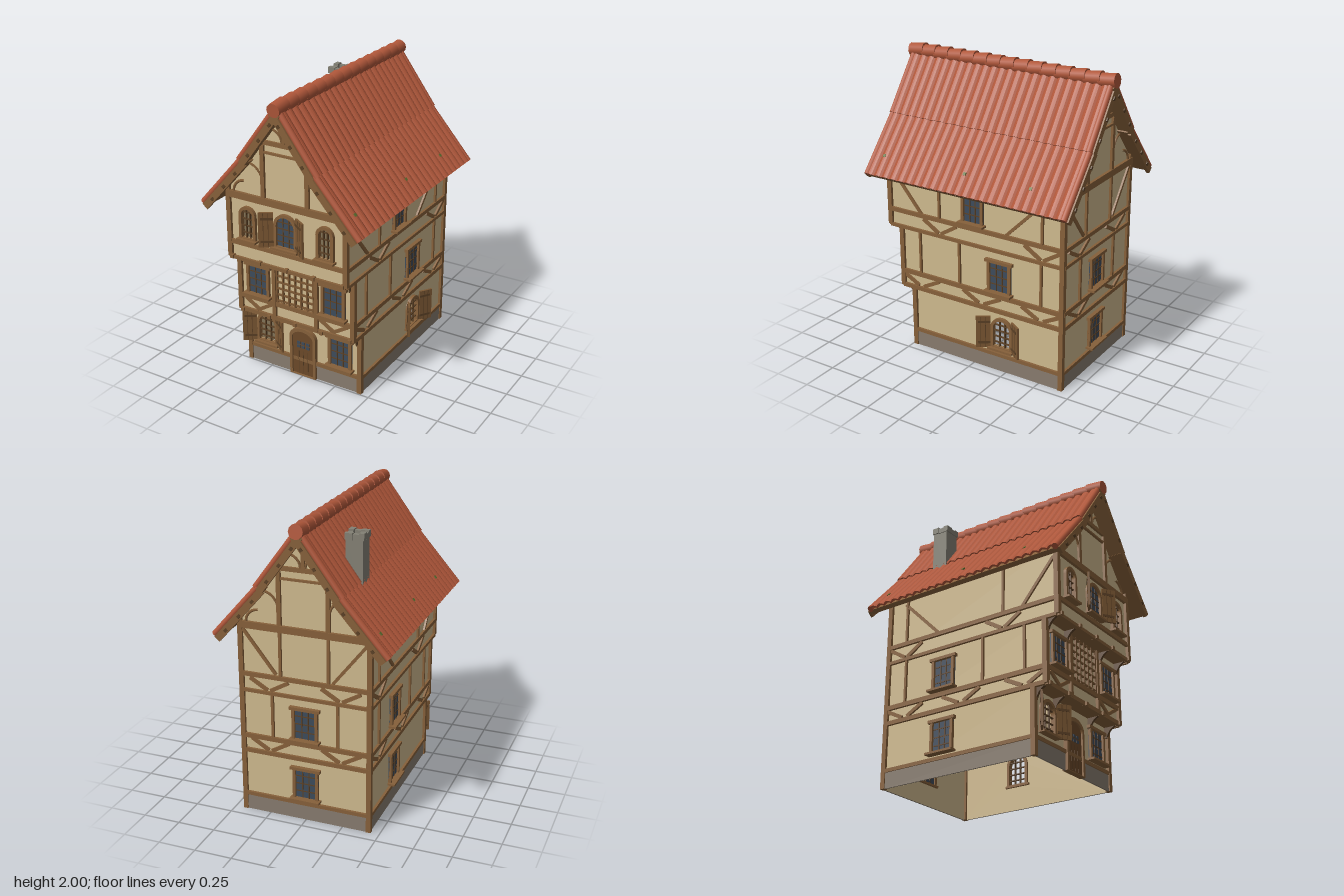
import * as THREE from 'three';

const mat = (name, color, side = THREE.FrontSide) => {
  const m = new THREE.MeshStandardMaterial({ color, side });
  m.name = name;
  return m;
};
const plaster = mat('plaster', 0xceb98e, THREE.DoubleSide), timber = mat('timber', 0x86603a);
const darkWood = mat('dark wood', 0x5c4126), shutterWood = mat('shutter wood', 0x7b5733);
const doorWood = mat('door wood', 0x6b4929), glassBlue = mat('glass', 0x3d4b5b);
const stone = mat('plinth stone', 0x877b6e), chimneyStone = mat('chimney stone', 0x838074);
const tile = mat('roof tile', 0xb0573a), moss = mat('moss', 0x5d7030);

const X = 0.425, BACK = -0.66;
const STOREYS = [{ y0: 0, y1: 0.43, z: 0.475 }, { y0: 0.43, y1: 0.86, z: 0.565 }, { y0: 0.86, y1: 1.36, z: 0.655 }];

function group(parent, name) {
  const g = new THREE.Group();
  g.name = name;
  parent.add(g);
  return g;
}
function mesh(parent, name, geo, material, x = 0, y = 0, z = 0) {
  const m = new THREE.Mesh(geo, material);
  m.name = name;
  m.position.set(x, y, z);
  parent.add(m);
  return m;
}
const box = (p, name, material, w, h, d, x, y, z) => mesh(p, name, new THREE.BoxGeometry(w, h, d), material, x, y, z);

// Timber between two points of a wall face, standing proud of it
function bar(g, name, u0, v0, u1, v1, t = 0.024, d = 0.015, material = timber, w = d / 2 + 0.001) {
  const m = box(g, name, material, Math.hypot(u1 - u0, v1 - v0), t, d, (u0 + u1) / 2, (v0 + v1) / 2, w);
  m.rotation.z = Math.atan2(v1 - v0, u1 - u0);
  return m;
}
function arch(Type, u, v, w, h, ry = w / 2) {
  const p = new Type();
  p.moveTo(u - w / 2, v);
  p.lineTo(u + w / 2, v);
  p.lineTo(u + w / 2, v + h - ry);
  p.absellipse(u, v + h - ry, w / 2, ry, 0, Math.PI, false, 0);
  p.closePath();
  return p;
}
const extrude = (shape, depth) => new THREE.ExtrudeGeometry(shape, { depth, bevelEnabled: false, curveSegments: 10 });

// Rectangular leaded window with frame, sill and lintel
function squareWindow(parent, u, v, w = 0.175, h = 0.215) {
  const g = group(parent, 'window');
  box(g, 'pane', glassBlue, w, h, 0.01, u, v + h / 2, 0.001);
  for (const s of [-1, 1]) {
    box(g, 'jamb', timber, 0.02, h, 0.034, u + s * (w / 2 - 0.01), v + h / 2, 0.004);
    bar(g, 'glazing bar', u + s * w / 8, v, u + s * w / 8, v + h, 0.007, 0.018, darkWood, 0.001);
  }
  for (let i = 1; i < 4; i++) bar(g, 'glazing bar', u - w / 2, v + h * i / 4, u + w / 2, v + h * i / 4, 0.007, 0.016, darkWood, 0.001);
  box(g, 'lintel', timber, w + 0.03, 0.02, 0.042, u, v + h, 0.006);
  box(g, 'sill', timber, w + 0.03, 0.014, 0.065, u, v, 0.018);
}

// Arched window, optionally glazed and shuttered
function archWindow(parent, u, v, w, h, glazed, shutters) {
  const g = group(parent, 'arched window');
  const t = 0.02, frame = arch(THREE.Shape, u, v, w, h);
  frame.holes.push(arch(THREE.Path, u, v + t * 0.6, w - 2 * t, h - t * 1.6));
  mesh(g, 'frame', extrude(frame, 0.034), timber, 0, 0, -0.012);
  if (glazed) mesh(g, 'pane', extrude(arch(THREE.Shape, u, v, w - t, h - t / 2), 0.008), glassBlue, 0, 0, -0.003);
  const iw = w - 2 * t;
  for (const s of [-1, 1]) bar(g, 'glazing bar', u + s * iw / 6, v, u + s * iw / 6, v + h - t * 1.3, 0.007, 0.014, darkWood, 0.002);
  for (let i = 1; i < 5; i++) {
    const y = v + (h - w * 0.35) * i / 4;
    bar(g, 'glazing bar', u - iw / 2, y, u + iw / 2, y, 0.007, 0.012, darkWood, 0.002);
  }
  box(g, 'sill', timber, w + 0.02, 0.014, 0.06, u, v, 0.015);
  if (!shutters) return;
  for (const s of [-1, 1]) {
    const leaf = group(g, 'shutter');
    leaf.position.set(u + s * w / 2, v + h / 2, 0.02);
    leaf.rotation.y = -s * 0.58;
    box(leaf, 'leaf', shutterWood, 0.095, h, 0.014, s * 0.047, 0, 0);
    for (const y of [-0.33, 0.33]) box(leaf, 'strap', darkWood, 0.08, 0.016, 0.02, s * 0.04, h * y, 0);
    for (const x of [0.032, 0.063]) box(leaf, 'plank gap', darkWood, 0.004, h * 0.98, 0.016, s * x, 0, 0);
  }
}

function wall(g, pts, holes = []) {
  const s = new THREE.Shape(pts.map(p => new THREE.Vector2(...p)));
  s.holes = holes;
  mesh(g, 'plaster wall', new THREE.ShapeGeometry(s, 10), plaster);
}
const rect = (a, b, y0, y1) => [[a, y0], [b, y0], [b, y1], [a, y1]];

// Wall faces: local x runs along the wall, local z points outward
function face(root, name, x, z, turn) {
  const g = group(root, name);
  g.position.set(x, 0, z);
  g.rotation.y = turn;
  return g;
}

function gable(g, holes) {
  wall(g, [[-X, 0.86], [X, 0.86], [X, 1.37], [0.255, 1.545], [0, 1.9], [-0.255, 1.545], [-X, 1.37]], holes);
  bar(g, 'gable beam', -0.44, 1.3, 0.44, 1.3, 0.045, 0.02);
  bar(g, 'collar beam', -0.15, 1.69, 0.15, 1.69, 0.028);
  bar(g, 'tie beam', -0.15, 1.625, 0.15, 1.625, 0.014);
  bar(g, 'king post', 0, 1.69, 0, 1.9, 0.022);
  for (const s of [-1, 1]) {
    bar(g, 'gable post', s * 0.16, 1.3, s * 0.16, 1.67, 0.028, 0.017);
    for (const [cx, cy, r, a] of [[0.28, 1.42, 0.115, 90], [0.3, 1.32, 0.085, 0], [0.1, 1.7, 0.085, 90]]) {
      const arc = mesh(g, 'curved brace', new THREE.TorusGeometry(r, 0.009, 4, 6, Math.PI / 2), timber, s * cx, cy, 0.008);
      arc.rotation.z = THREE.MathUtils.degToRad(s > 0 ? a : 90 - a);
    }
  }
}

// Horizontal beams common to all sides
const BEAMS = [[0.117, 0.024], [0.435, 0.028], [0.54, 0.03], [0.858, 0.022], [0.97, 0.028]];

function buildFront(root) {
  const f = STOREYS.map((s, i) => face(root, 'front storey ' + (i + 1), 0, s.z, 0));
  wall(f[0], rect(-X, X, 0, 0.43), [arch(THREE.Path, -0.285, 0.18, 0.14, 0.2)]);
  wall(f[1], rect(-X, X, 0.43, 0.86));
  gable(f[2], [-1, 1].map(s => arch(THREE.Path, s * 0.285, 1.02, 0.095, 0.2)));
  BEAMS.forEach(([y, t], i) => bar(f[[0, 1, 1, 2, 2][i]], 'beam', -0.43, y, 0.43, y, t, 0.017));
  archWindow(f[0], -0.285, 0.165, 0.165, 0.225, false, true);
  squareWindow(f[0], 0.28, 0.15);
  // Arched front door
  const door = group(f[0], 'door');
  const frame = arch(THREE.Shape, 0, 0, 0.2, 0.36, 0.07);
  frame.holes.push(arch(THREE.Path, 0, 0.005, 0.16, 0.33, 0.055));
  mesh(door, 'door frame', extrude(frame, 0.04), timber, 0, 0, -0.012);
  mesh(door, 'door leaf', extrude(arch(THREE.Shape, 0, 0.003, 0.165, 0.335, 0.06), 0.022), doorWood, 0, 0, -0.006);
  for (const x of [-0.035, 0, 0.035]) {
    for (const y of [0.215, 0.243]) box(door, 'door light', glassBlue, 0.024, 0.02, 0.006, x, y, 0.016);
    box(door, 'plank gap', darkWood, 0.004, 0.17, 0.004, x, 0.1, 0.016);
  }
  // Middle storey: lattice screen between two windows
  for (const s of [-1, 1]) {
    squareWindow(f[1], s * 0.285, 0.57);
    bar(f[1], 'post', s * 0.16, 0.43, s * 0.16, 0.86, 0.026, 0.019);
    for (const d of [-1, 1]) bar(f[1], 'band brace', s * 0.285, 0.46, s * 0.285 + d * 0.105, 0.525, 0.022, 0.013);
    archWindow(f[2], s * 0.285, 1.005, 0.125, 0.23, false, false);
  }
  for (let i = 0; i < 7; i++) {
    const x = -0.138 + i * 0.046, y = 0.57 + i * 0.045;
    bar(f[1], 'lattice upright', x, 0.555, x, 0.85, 0.011, 0.014, shutterWood);
    bar(f[1], 'lattice rail', -0.145, y, 0.145, y, 0.011, 0.012, shutterWood);
  }
  archWindow(f[2], 0, 1.01, 0.17, 0.235, true, true);
  // Overhang floors, curved brackets and joist ends
  for (const i of [0, 1]) {
    const y = STOREYS[i].y1, z = STOREYS[i].z;
    box(root, 'overhang soffit', timber, 0.86, 0.012, 0.1, 0, y, z + 0.045);
    const b = new THREE.Shape();
    b.moveTo(0, 0);
    b.lineTo(0.09, 0);
    b.quadraticCurveTo(0.03, -0.02, 0.015, -0.08);
    b.lineTo(0, -0.08);
    for (const x of [-0.41, -0.2, 0.2, 0.41]) {
      const m = mesh(root, 'overhang bracket', extrude(b, 0.018), darkWood, x - 0.009, y, z);
      m.rotation.y = -Math.PI / 2;
      m.position.x += 0.018;
    }
    for (const x of [-0.41, -0.2, 0, 0.2, 0.41]) box(root, 'joist end', timber, 0.024, 0.024, 0.04, x, y + 0.004, z + 0.1);
  }
}

function buildSide(root, s) {
  const name = s > 0 ? 'left side' : 'right side';
  const g = face(root, name, s * X, 0, s * Math.PI / 2);
  const U = z => -s * z;
  STOREYS.forEach((f, i) => wall(g, rect(U(BACK), U(f.z), f.y0, f.y1),
    i === 0 && s > 0 ? [arch(THREE.Path, U(-0.22), 0.18, 0.14, 0.2)] : []));
  const line = (n, z0, y0, z1, y1, t, d) => bar(g, n, U(z0), y0, U(z1), y1, t, d);
  BEAMS.forEach(([y, t], i) => line('beam', BACK, y, STOREYS[[0, 1, 1, 2, 2][i]].z, y, t, 0.017));
  for (const z of [0.42, 0.107, -0.51]) line('post', z, 0.55, z, 0.85, 0.016);
  for (const z of [0.26, -0.515]) line('post', z, 0.98, z, 1.36, 0.016);
  line('brace', 0.64, 1.26, 0.405, 0.98, 0.02, 0.013);
  line('brace', -0.53, 1.26, -0.25, 0.98, 0.02, 0.013);
  for (const z of [0.42, -0.06, -0.51]) for (const d of [-1, 1])
    line('band brace', z + d * 0.02, 0.455, z + d * 0.145, 0.52, 0.024, 0.013);
  for (const z of [0.26, -0.515]) for (const d of [-1, 1])
    line('band brace', z + d * 0.01, 0.875, z + d * 0.13, 0.95, 0.024, 0.013);
  squareWindow(g, U(-0.2), 0.57);
  if (s > 0) {
    archWindow(g, U(-0.22), 0.165, 0.165, 0.225, false, true);
    squareWindow(g, 0, 1.005, 0.165, 0.23);
  } else squareWindow(g, U(-0.2), 0.15);
}

function buildBack(root) {
  const g = face(root, 'back', 0, BACK, Math.PI);
  wall(g, rect(-X, X, 0, 0.86));
  gable(g);
  for (const [y, t] of BEAMS) bar(g, 'beam', -0.43, y, 0.43, y, t, 0.017);
  squareWindow(g, 0, 0.15);
  squareWindow(g, 0, 0.57);
  for (const s of [-1, 1]) {
    bar(g, 'post', s * 0.22, 0.54, s * 0.22, 0.86, 0.018);
    bar(g, 'post', s * 0.16, 0.97, s * 0.16, 1.3, 0.018);
    bar(g, 'brace', s * 0.41, 1.27, s * 0.19, 0.99, 0.02, 0.013);
    for (const y of [0.455, 0.875]) for (const d of [-1, 1])
      bar(g, 'band brace', s * 0.24 + d * 0.01, y, s * 0.24 + d * 0.13, y + 0.07, 0.024, 0.013);
  }
}

// One pitch of the roof: local x along the ridge, y outward, z down the slope
function slope(parent, x0, y0, x1, y1) {
  const g = group(parent, 'roof pitch');
  const L = Math.hypot(x1 - x0, y1 - y0), dx = (x1 - x0) / L, dy = (y1 - y0) / L;
  g.applyMatrix4(new THREE.Matrix4().makeBasis(new THREE.Vector3(0, 0, -1), new THREE.Vector3(-dy, dx, 0),
    new THREE.Vector3(dx, dy, 0)).setPosition(x0, y0, 0));
  const cols = 24, n = cols * 5, top = [], under = [];
  for (let i = 0; i <= n; i++) {
    const x = -0.74 + 1.48 * i / n, h = 0.014 * Math.abs(Math.sin(Math.PI * i / 5));
    under.push(new THREE.Vector2(x, h - 0.001));
    top.unshift(new THREE.Vector2(x, h + 0.012));
  }
  mesh(g, 'tile columns', extrude(new THREE.Shape([...under, ...top]), L), tile);
  box(g, 'roof deck', timber, 1.48, 0.03, L - 0.006, 0, -0.017, L / 2);
  for (const s of [-1, 1]) {
    mesh(g, 'verge tile', new THREE.CylinderGeometry(0.021, 0.021, L, 10), tile, s * 0.735, 0.008, L / 2).rotation.x = Math.PI / 2;
    box(g, 'barge board', timber, 0.022, 0.045, L, s * 0.752, -0.026, L / 2);
    for (const k of [0.2, 0.5, 0.8]) box(g, 'barge peg', darkWood, 0.012, 0.018, 0.022, s * 0.764, -0.03, L * k);
  }
  return g;
}

function buildRoof(root) {
  const roof = group(root, 'roof');
  for (const turn of [0, Math.PI]) {
    const half = group(roof, 'roof half');
    half.rotation.y = turn;
    slope(half, 0, 1.94, 0.272, 1.572);
    const low = slope(half, 0.255, 1.578, 0.56, 1.23);
    for (const x of [-0.65, -0.02, 0.46]) box(low, 'moss tuft', moss, 0.018, 0.008, 0.02, x, 0.025, 0.32);
  }
  for (let i = 0; i < 15; i++)
    mesh(roof, 'ridge tile', new THREE.CylinderGeometry(0.045, 0.047, 0.115, 12).rotateX(Math.PI / 2), tile,
      0, 1.948, -0.711 + i * 0.1016).rotation.x = 0.1;
}

function buildChimney(root) {
  const g = group(root, 'chimney');
  g.position.set(-0.235, 0, -0.375);
  const sq = (T, a) => new T([[-a, -a], [a, -a], [a, a], [-a, a]].map(p => new THREE.Vector2(...p)));
  const s = sq(THREE.Shape, 0.056);
  s.holes.push(sq(THREE.Path, 0.03));
  mesh(g, 'stack', extrude(s, 0.33).rotateX(-Math.PI / 2), chimneyStone, 0, 1.52, 0);
  // Uneven cap stones laid around the flue
  for (let i = 0; i < 4; i++) {
    const side = group(g, 'cap stones');
    side.rotation.y = i * Math.PI / 2;
    box(side, 'cap stone', chimneyStone, 0.05, 0.042, 0.034, -0.036, 1.857 + (i % 2) * 0.004, 0.047);
    box(side, 'cap stone', chimneyStone, 0.04, 0.036, 0.031, 0.011, 1.855 - (i % 2) * 0.003, 0.046);
  }
}

export function createModel() {
  const root = new THREE.Group();
  root.name = 'half-timbered house';
  buildFront(root);
  buildBack(root);
  for (const s of [1, -1]) {
    buildSide(root, s);
    // Corner posts and plinth
    for (const f of STOREYS) box(root, 'corner post', timber, 0.032, f.y1 - f.y0, 0.032, s * 0.427, (f.y0 + f.y1) / 2, f.z + 0.003);
    box(root, 'corner post', timber, 0.032, 1.36, 0.032, s * 0.427, 0.68, BACK - 0.001);
    box(root, 'plinth', stone, 0.01, 0.105, 1.13, s * (X + 0.006), 0.0525, -0.0925);
    box(root, 'plinth', stone, 0.33, 0.105, 0.01, s * 0.26, 0.0525, 0.481);
  }
  box(root, 'plinth', stone, 0.85, 0.105, 0.01, 0, 0.0525, BACK - 0.006);
  buildRoof(root);
  buildChimney(root);
  return root;
}
